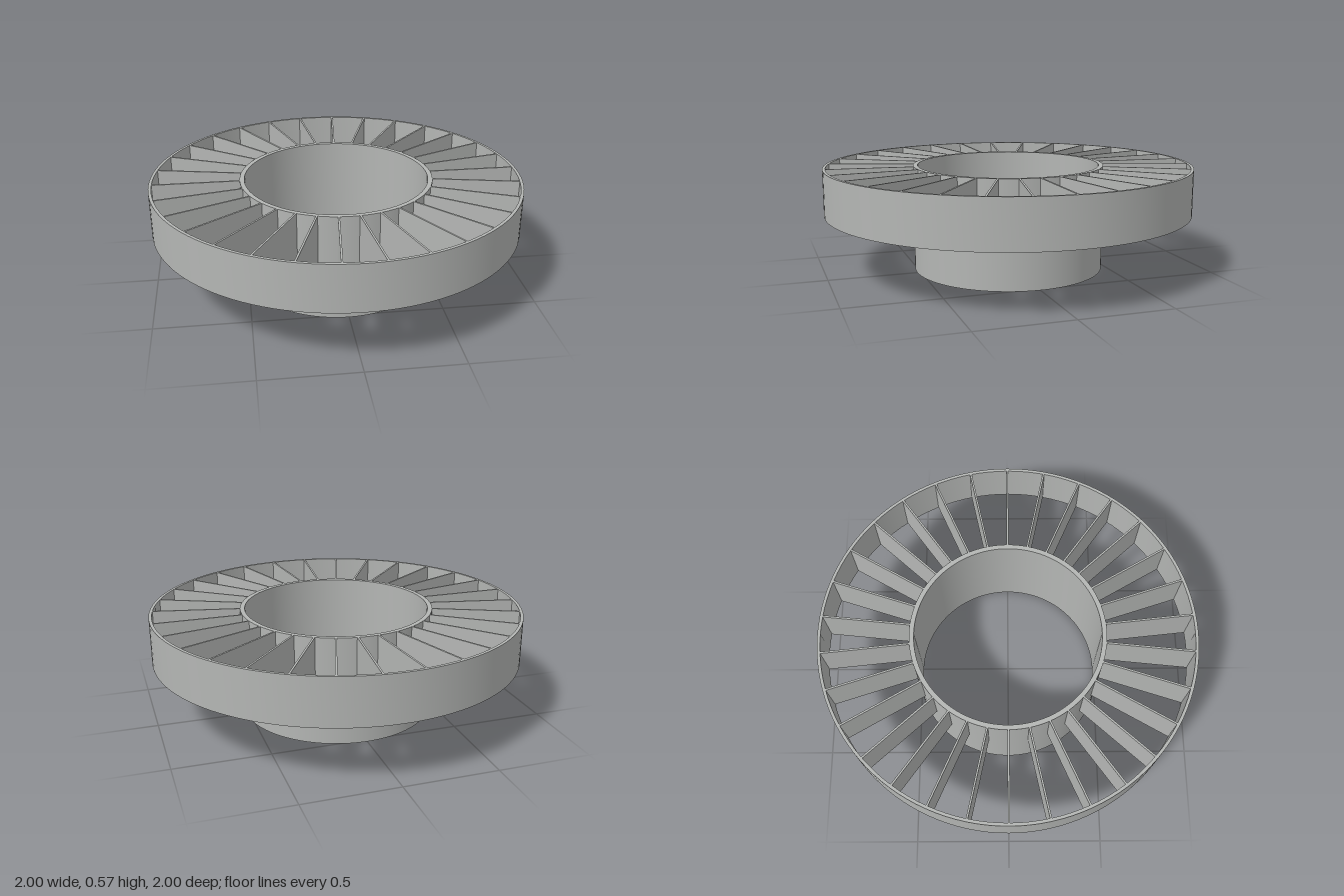
import * as THREE from 'three';
import { toCreasedNormals } from 'three/addons/utils/BufferGeometryUtils.js';

const TOP = 0.575;        // shared top plane of hub, rim and vanes
const RIM_BOTTOM = 0.325;
const HUB_OUTER = 0.52;
const RIM_INNER = 0.984;
const VANES = 30;

// Open tube with a rectangular wall section
function tube(inner, outer, y0, y1) {
  const profile = [[inner, y0], [outer, y0], [outer, y1], [inner, y1], [inner, y0]]
    .map(([r, y]) => new THREE.Vector2(r, y));
  return toCreasedNormals(new THREE.LatheGeometry(profile, 120), 0.5);
}

export function createModel() {
  const model = new THREE.Group();
  model.name = 'vanedRing';
  const metal = new THREE.MeshStandardMaterial({ color: 0xb4b6b4 });
  metal.name = 'grey metal';

  const add = (name, geometry, parent = model) => {
    const mesh = new THREE.Mesh(geometry, metal);
    mesh.name = name;
    parent.add(mesh);
    return mesh;
  };

  // Inner hub sleeve and outer rim
  add('hub', tube(0.495, HUB_OUTER, 0, TOP));
  add('rim', tube(RIM_INNER, 1, RIM_BOTTOM, TOP));

  // Radial vanes joining hub to rim, ends sunk slightly into both walls
  const vanes = new THREE.Group();
  vanes.name = 'vanes';
  model.add(vanes);
  const start = HUB_OUTER - 0.003;
  const end = RIM_INNER + 0.003;
  const vane = new THREE.BoxGeometry(end - start, TOP - RIM_BOTTOM, 0.01);
  vane.translate((start + end) / 2, (TOP + RIM_BOTTOM) / 2, 0);
  for (let i = 0; i < VANES; i++) {
    add('vane', vane, vanes).rotation.y = (i / VANES) * Math.PI * 2;
  }
  return model;
}
